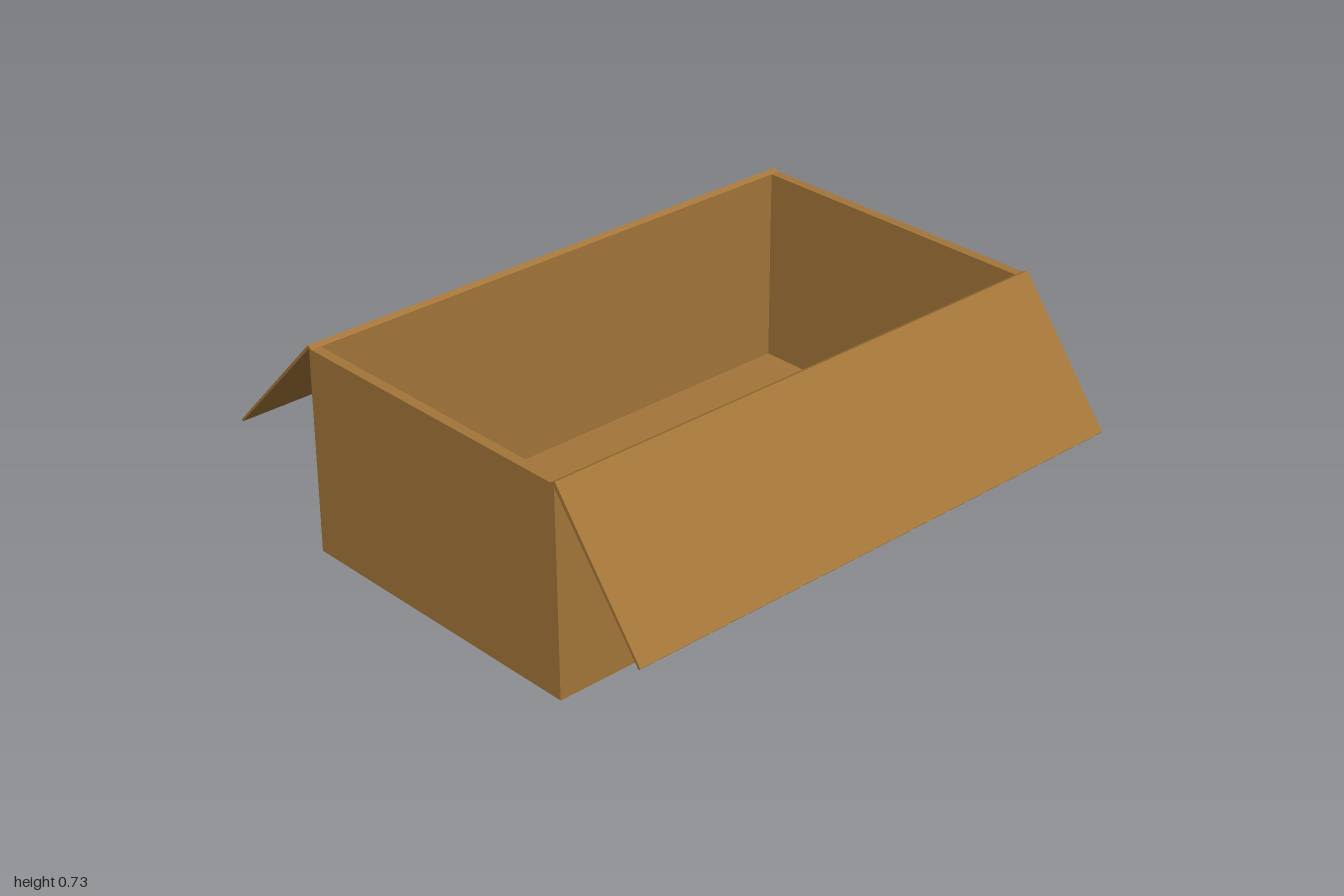
import * as THREE from 'three';

// Rectangular loop of four corners, in order seen from above
const loop = (x, y, back, front) => [[-x, y, front], [x, y, front], [x, y, back], [-x, y, back]];

// Flat-sided shell joining consecutive loops, capped at both ends
function shellGeometry(loops) {
  const pos = [];
  const quad = (a, b, c, d) => pos.push(...a, ...b, ...c, ...a, ...c, ...d);
  for (let i = 0; i < loops.length - 1; i++) {
    const lo = loops[i], hi = loops[i + 1];
    for (let j = 0; j < 4; j++) {
      const k = (j + 1) % 4;
      quad(lo[j], lo[k], hi[k], hi[j]);
    }
  }
  const first = loops[0], last = loops[loops.length - 1];
  quad(first[3], first[2], first[1], first[0]);
  quad(last[0], last[1], last[2], last[3]);
  const geometry = new THREE.BufferGeometry();
  geometry.setAttribute('position', new THREE.Float32BufferAttribute(pos, 3));
  geometry.computeVertexNormals();
  return geometry;
}

// Side profile given as [z, y] points, swept across the full width
function flapGeometry(profile) {
  const shape = new THREE.Shape(profile.map(([z, y]) => new THREE.Vector2(z, y)));
  const geometry = new THREE.ExtrudeGeometry(shape, { depth: 2, bevelEnabled: false });
  geometry.rotateY(-Math.PI / 2);
  geometry.translate(1, 0, 0);
  return geometry;
}

export function createModel() {
  const model = new THREE.Group();
  model.name = 'openCardboardBox';
  const cardboard = new THREE.MeshStandardMaterial({ color: 0xa47639 });
  cardboard.name = 'cardboard';

  const add = (name, geometry) => {
    const mesh = new THREE.Mesh(geometry, cardboard);
    mesh.name = name;
    model.add(mesh);
  };

  // Open tray: outside wall, rim, inside wall and floor
  add('boxBody', shellGeometry([
    loop(1, 0, -0.543, 0.6),
    loop(1, 0.715, -0.543, 0.592),
    loop(0.965, 0.715, -0.53, 0.575),
    loop(0.965, 0.02, -0.53, 0.575),
  ]));

  // Flaps folded outward from the long rims, each with a small raised crease
  add('frontFlap', flapGeometry([
    [0.575, 0.715], [0.59, 0.708], [0.936, 0.268], [0.943, 0.275], [0.596, 0.725],
  ]));
  add('backFlap', flapGeometry([
    [-0.53, 0.715], [-0.548, 0.725], [-0.943, 0.314], [-0.938, 0.308], [-0.545, 0.714],
  ]));

  return model;
}
